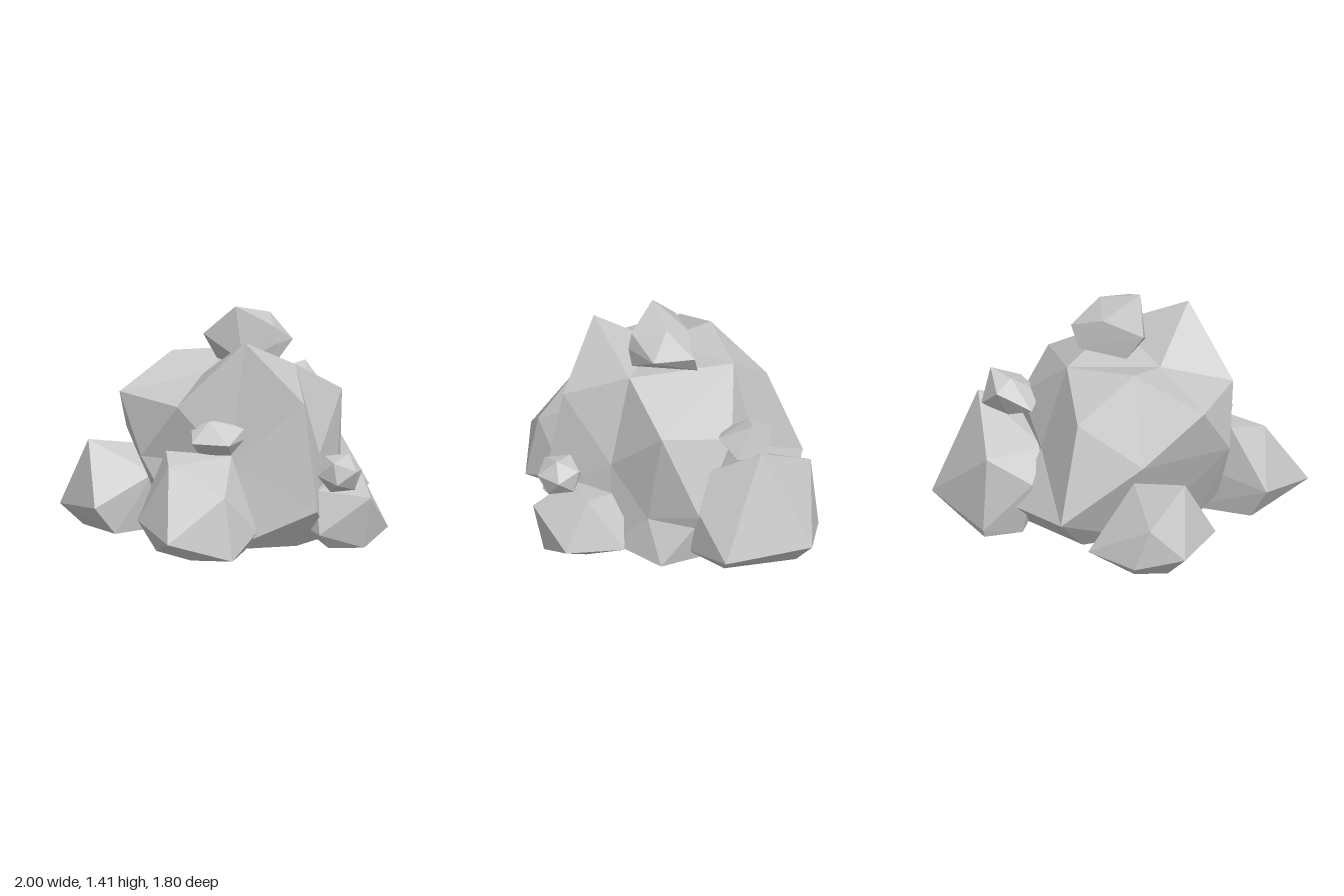
import * as THREE from 'three';
import { ConvexGeometry } from 'three/addons/geometries/ConvexGeometry.js';

export function createModel() {
  const group = new THREE.Group();
  const stone = new THREE.MeshStandardMaterial({ color: 0xc8c8c8, side: THREE.DoubleSide });
  stone.name = 'light stone grey';

  function add(name, geometry) {
    const mesh = new THREE.Mesh(geometry, stone);
    mesh.name = name;
    group.add(mesh);
  }

  // Faceted skin over corner points, left open where it rests on the ground.
  // With a centre, corners are joined by direction, so hollows are kept.
  function boulder(name, corners, centre) {
    const points = corners.map((c) => new THREE.Vector3(...c));
    const hubs = centre
      ? points.map((p) => p.clone().sub(centre).normalize())
      : points;
    const hull = new ConvexGeometry(hubs).getAttribute('position');
    const v = new THREE.Vector3();
    const skin = [];
    for (let i = 0; i < hull.count; i += 3) {
      const face = [0, 1, 2].map((k) => {
        v.fromBufferAttribute(hull, i + k);
        return points[hubs.findIndex((h) => h.distanceTo(v) < 1e-4)];
      });
      if (face.some((p) => p.y > 0)) skin.push(...face);
    }
    const geometry = new THREE.BufferGeometry().setFromPoints(skin);
    geometry.computeVertexNormals();
    add(name, geometry);
  }

  // A pebble is a turned and stretched icosahedron, centred at p with half sizes s
  function pebble(name, p, s, turn) {
    const g = new THREE.IcosahedronGeometry(1, 0);
    g.rotateX(turn[0]).rotateY(turn[1]).rotateZ(turn[2]);
    g.computeBoundingBox();
    const b = g.boundingBox;
    g.scale(s[0] / b.max.x, s[1] / b.max.y, s[2] / b.max.z);
    g.translate(...p);
    add(name, g);
  }

  // Large central boulder: crown, shoulders, waist, foot
  boulder('mainBoulder', [
    [-0.28, 1.26, 0.35], [0.17, 1.055, 0.26], [-0.275, 1.09, -0.39], [0.175, 1.05, -0.4],
    [-0.29, 1.0, -0.06],
    [-0.03, 0.89, 0.62], [0.585, 0.84, 0.18], [-0.03, 0.82, -0.67],
    [-0.72, 0.9, -0.33], [-0.665, 0.88, 0.18], [0.54, 0.74, -0.28],
    [0.25, 0.51, 0.4], [-0.76, 0.55, -0.06], [-0.37, 0.5, 0.32], [-0.45, 0.6, -0.62],
    [0.3, 0.52, -0.5], [-0.03, 0.245, 0.75], [-0.03, 0.24, -0.9], [0.36, 0.2, -0.72],
    [0.49, 0.24, 0.24], [0.72, 0.33, -0.02], [0.68, 0.24, 0], [-0.6, 0.14, 0.1],
    [0.67, 0, 0.21], [0.3, 0, 0.42], [-0.03, 0, 0.54], [-0.43, 0, 0.38], [-0.5, 0, 0],
    [-0.3, 0, -0.4], [-0.05, 0, -0.64], [0.4, 0, -0.5], [0.6, 0, -0.2],
  ], new THREE.Vector3(-0.05, 0.5, -0.03));

  boulder('backLeftBoulder', [
    [0.78, 0.755, -0.39], [0.6, 0.57, -0.09], [0.53, 0.51, -0.78], [0.31, 0.5, -0.45],
    [0.72, 0.35, -0.02], [1, 0.15, -0.1], [0.96, 0.15, -0.66], [0.27, 0.35, -0.68],
    [0.62, 0.06, 0.03], [0.53, 0.05, -0.83],
    [0.8, 0, -0.15], [0.82, 0, -0.6], [0.53, 0, -0.81], [0.35, 0, -0.65], [0.45, 0, -0.2],
  ]);

  boulder('backRightBoulder', [
    [-0.735, 0.555, -0.625], [-0.39, 0.49, -0.625], [-0.6, 0.3, -0.83],
    [-0.82, 0.14, -0.8], [-0.84, 0.17, -0.42], [-0.525, 0.05, -0.89], [-0.18, 0.07, -0.83],
    [-0.45, 0.35, -0.35],
    [-0.7, 0, -0.4], [-0.68, 0, -0.75], [-0.5, 0, -0.85], [-0.25, 0, -0.75], [-0.3, 0, -0.4],
  ]);

  boulder('frontRightBoulder', [
    [-0.69, 0.6, 0.1], [-0.82, 0.55, 0.3], [-0.38, 0.57, 0.35], [-0.62, 0.38, 0.6],
    [-1, 0.125, 0.53], [-0.92, 0.2, 0.12], [-0.32, 0.12, 0.53], [-0.35, 0.35, 0.05],
    [-0.25, 0.18, 0.4],
    [-0.8, 0, 0.5], [-0.62, 0, 0.68], [-0.35, 0, 0.45], [-0.8, 0, 0.15], [-0.4, 0, 0.1],
  ]);

  boulder('frontBoulder', [
    [0.425, 0.39, 0.6], [0.265, 0.32, 0.9], [0.07, 0.34, 0.6], [0.3, 0.34, 0.41],
    [0.39, 0.21, 0.36], [0.56, 0.09, 0.41], [0.5, 0.09, 0.76], [0.01, 0.09, 0.72],
    [0.05, 0.12, 0.42], [0.265, 0, 0.83], [0.4, 0, 0.6], [0.09, 0, 0.7], [0.2, 0, 0.45],
  ]);

  boulder('topStone', [
    [-0.11, 1.41, 0.03], [0.16, 1.34, 0.02], [0.05, 1.295, 0.21], [0.05, 1.19, 0.23],
    [0.06, 1.07, 0.21], [0.285, 1.185, -0.12], [0.25, 1.18, 0.13], [-0.22, 1.225, -0.15],
    [0.06, 1.27, -0.14], [-0.11, 1.08, 0.1], [0.21, 1.06, -0.16], [0, 1.0, 0],
    [-0.11, 1.06, -0.16],
  ]);

  // Small stones resting on the boulders
  boulder('backLeftPebble', [
    [0.71, 0.91, -0.36], [0.56, 0.88, -0.385], [0.595, 0.82, -0.51], [0.73, 0.7, -0.45],
    [0.785, 0.74, -0.24], [0.595, 0.8, -0.175], [0.42, 0.76, -0.265], [0.38, 0.73, -0.465],
    [0.6, 0.66, -0.27], [0.55, 0.66, -0.44],
  ]);
  boulder('frontRightPebble', [
    [-0.62, 0.66, 0.27], [-0.5, 0.785, 0.28], [-0.4, 0.785, 0.27], [-0.3, 0.73, 0.37],
    [-0.3, 0.665, 0.37], [-0.45, 0.65, 0.42], [-0.45, 0.57, 0.3], [-0.38, 0.57, 0.34],
    [-0.55, 0.59, 0.24], [-0.57, 0.74, 0.2], [-0.45, 0.7, 0.13], [-0.35, 0.65, 0.16],
  ]);
  pebble('frontPebble', [0.175, 0.455, 0.705], [0.135, 0.12, 0.145], [0.4, 0.2, 0.3]);

  return group;
}
